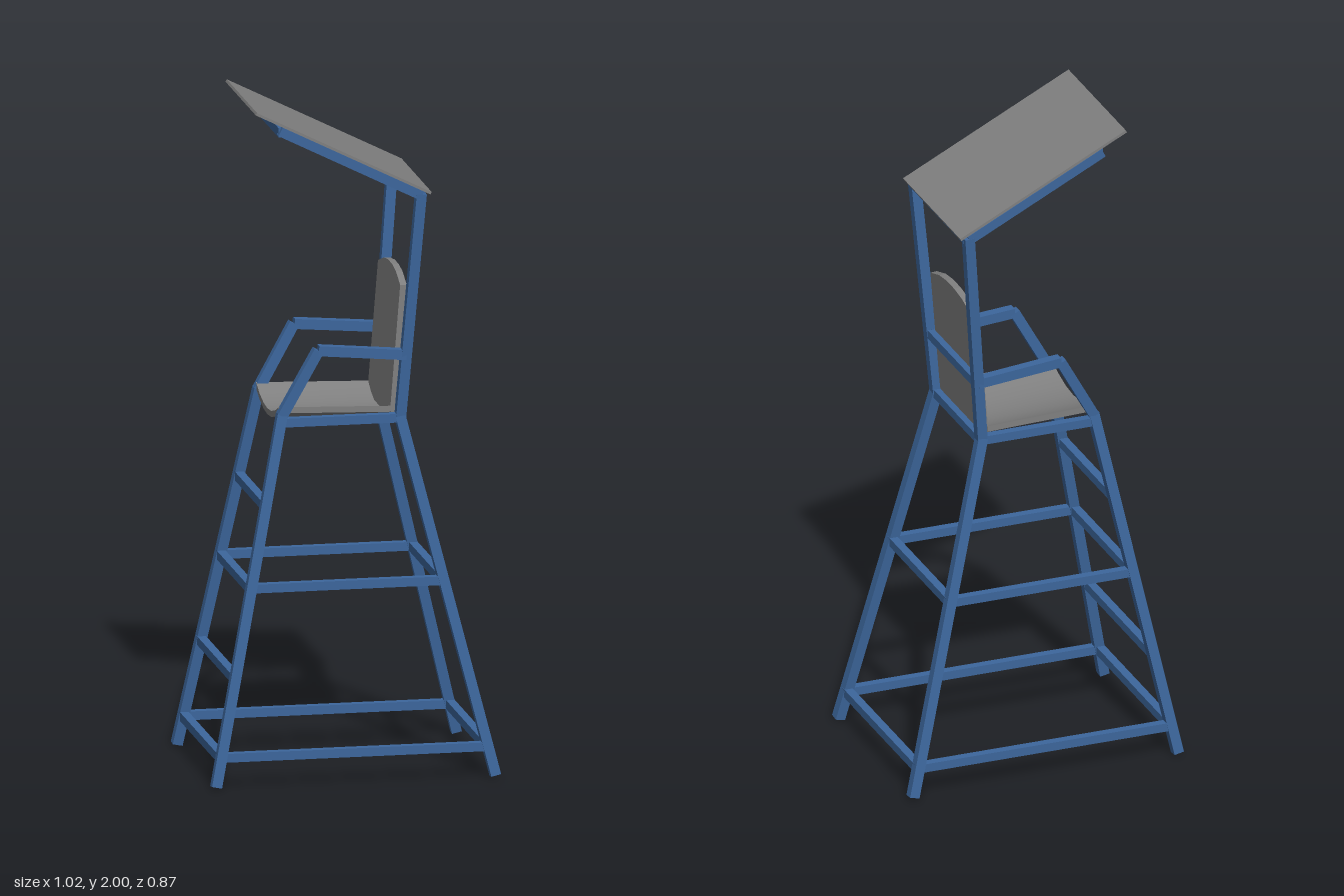
import * as THREE from 'three';

const blue = new THREE.MeshStandardMaterial({ color: 0x3c669c });
blue.name = 'blue painted frame';
const grey = new THREE.MeshStandardMaterial({ color: 0x808080 });
grey.name = 'grey panel';

const V = (x, y, z) => new THREE.Vector3(x, y, z);

// Square bar running between two points
function bar(parent, name, a, b, size = 0.03) {
  const dir = b.clone().sub(a);
  const length = dir.length();
  dir.normalize();
  const ref = Math.abs(dir.x) > 0.7 ? V(0, 0, 1) : V(1, 0, 0);
  const side = ref.addScaledVector(dir, -ref.dot(dir)).normalize();
  const depth = side.clone().cross(dir);
  const mesh = new THREE.Mesh(new THREE.BoxGeometry(size, length, size), blue);
  mesh.quaternion.setFromRotationMatrix(new THREE.Matrix4().makeBasis(side, dir, depth));
  mesh.position.copy(a).add(b).multiplyScalar(0.5);
  mesh.name = name;
  parent.add(mesh);
}

// Centre lines of the tapering legs and rear posts; s is the side (+1 or -1)
const mix = THREE.MathUtils.lerp;
const legZ = (y) => mix(0.293, 0.177, y / 1.07);
const front = (y, s) => V(mix(-0.416, -0.197, y / 1.08), y, s * legZ(y));
const rear = (y, s) => V(mix(0.416, 0.155, y / 1.06), y, s * legZ(y));
const post = (y, s) => {
  const t = (y - 1.06) / 0.68;
  return V(mix(0.155, 0.21, t), y, s * mix(0.177, 0.213, t));
};

export function createModel() {
  const model = new THREE.Group();
  model.name = 'lookoutChair';
  // The chair looks along its own -x and stands turned about the vertical
  const chair = new THREE.Group();
  chair.name = 'chair';
  chair.rotation.y = -THREE.MathUtils.degToRad(20.2);
  model.add(chair);

  for (const s of [-1, 1]) {
    bar(chair, 'frontLeg', front(0.004, s), front(1.085, s));
    bar(chair, 'rearLeg', rear(0.004, s), rear(1.065, s));
    bar(chair, 'rearPost', post(1.05, s), post(1.735, s));
    for (const y of [0.09, 0.58, 1.06]) bar(chair, 'sideRail', front(y, s), rear(y, s), 0.026);
    // Armrest: level bar, then a sloping bar to the front leg
    const bend = V(-0.09, 1.272, s * 0.182);
    bar(chair, 'armrest', post(1.25, s), bend);
    bar(chair, 'armSupport', bend, front(1.08, s));
    bar(chair, 'roofSideBar', V(0.21, 1.73, s * 0.213), V(-0.21, 1.94, s * 0.213), 0.028);
  }

  // Ladder rungs in front, cross rails behind
  for (const y of [0.09, 0.32, 0.58, 0.82]) bar(chair, 'rung', front(y, -1), front(y, 1), 0.026);
  for (const y of [0.09, 0.58, 1.06]) bar(chair, 'rearRail', rear(y, -1), rear(y, 1), 0.026);
  bar(chair, 'backRail', post(1.25, -1), post(1.25, 1), 0.026);
  bar(chair, 'roofRearBar', V(0.21, 1.73, -0.213), V(0.21, 1.73, 0.213), 0.028);
  bar(chair, 'roofFrontBar', V(-0.2, 1.935, -0.213), V(-0.2, 1.935, 0.213), 0.028);

  // Sloping roof panel
  const roof = new THREE.Mesh(new THREE.BoxGeometry(0.581, 0.008, 0.45), grey);
  roof.name = 'roof';
  roof.position.set(-0.022, 1.866, 0);
  roof.rotation.z = -Math.atan2(0.26, 0.52);
  chair.add(roof);

  // Seat slab that sags across its width and tips slightly to the back
  const seatGeo = new THREE.BoxGeometry(0.335, 0.018, 0.336, 1, 1, 6);
  const p = seatGeo.attributes.position;
  for (let i = 0; i < p.count; i++) {
    const k = p.getZ(i) / 0.168;
    p.setY(i, p.getY(i) - 0.04 * (1 - k * k) - 0.03 * p.getX(i));
  }
  seatGeo.computeVertexNormals();
  const seat = new THREE.Mesh(seatGeo, grey);
  seat.name = 'seat';
  seat.position.set(-0.037, 1.089, 0);
  chair.add(seat);

  // Backrest with an arched top, leaning back with the posts
  const outline = new THREE.Shape();
  const top = [[0.165, 0.395], [0.09, 0.42], [0.03, 0.428], [-0.03, 0.428], [-0.09, 0.42], [-0.165, 0.395]];
  outline.moveTo(-0.165, 0);
  outline.lineTo(0.165, 0);
  top.forEach(([x, y]) => outline.lineTo(x, y));
  outline.closePath();
  const backGeo = new THREE.ExtrudeGeometry(outline, { depth: 0.02, bevelEnabled: false });
  backGeo.translate(0, 0, -0.01).rotateY(Math.PI / 2).rotateZ(-0.08);
  const backrest = new THREE.Mesh(backGeo, grey);
  backrest.name = 'backrest';
  backrest.position.set(0.136, 1.058, 0);
  chair.add(backrest);

  return model;
}
